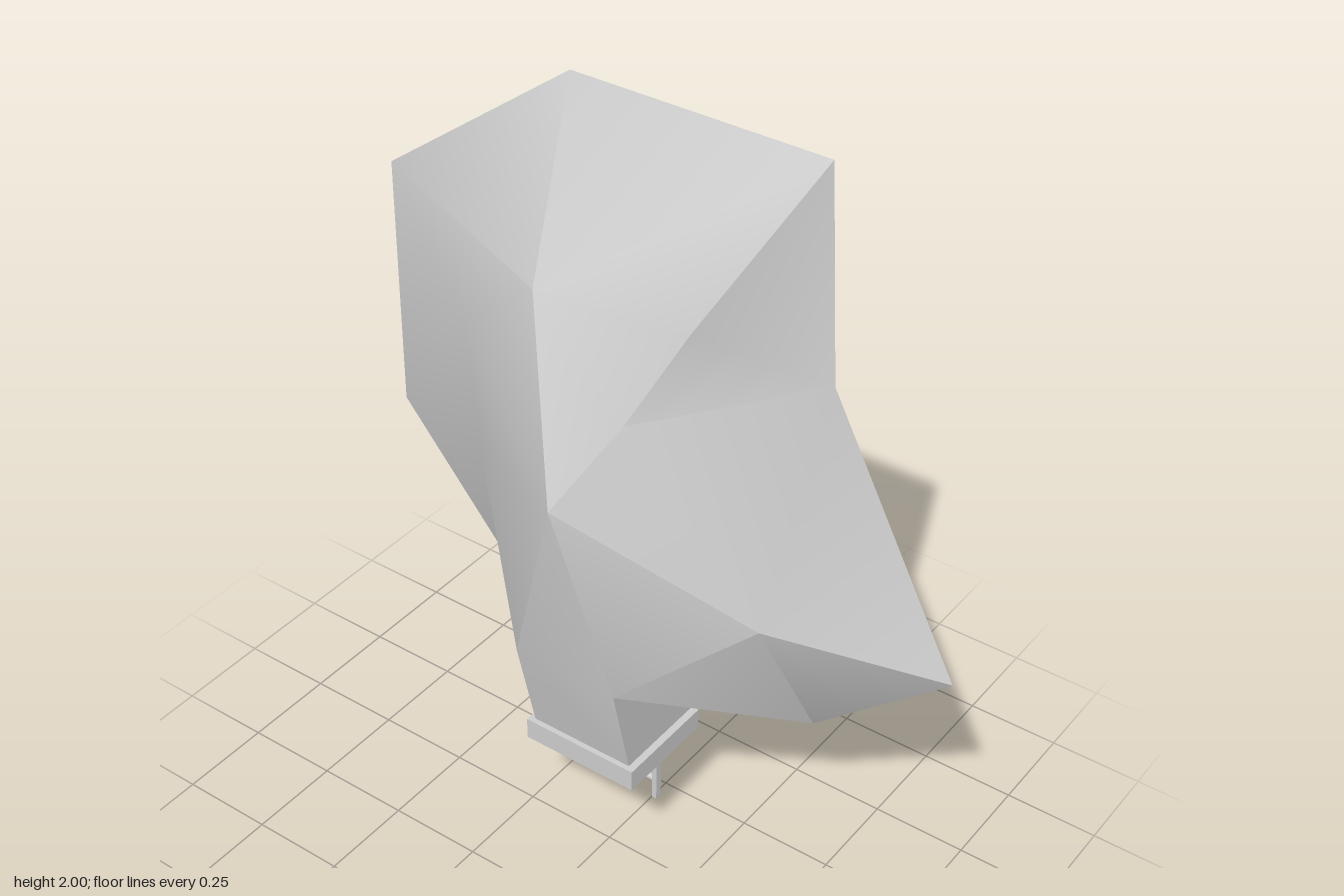
import * as THREE from 'three';
import { toCreasedNormals } from 'three/addons/utils/BufferGeometryUtils.js';

const material = new THREE.MeshStandardMaterial({ color: 0xcccccc });
const BACK = -0.22;

function add(parent, name, geometry, x = 0, y = 0, z = 0) {
  const mesh = new THREE.Mesh(geometry, material);
  mesh.name = name;
  mesh.position.set(x, y, z);
  parent.add(mesh);
  return mesh;
}

// Faceted bulge: flat rear outline, a ring of inner points and a peak
function shellGeometry() {
  const p = {
    peak: [0, 1.19, 0.228],
    a: [-0.42, 1.41, -0.01], b: [-0.42, 1.04, -0.045],
    t1: [-0.155, 1.63, 0.07], t2: [0.21, 1.615, -0.003],
    v: [0.09, 1.37, 0.07], r: [0.42, 0.9, 0],
    tl: [-0.19, 0.62, 0.12], tr: [0.1, 0.62, 0.12],
    dl: [-0.19, 0.35, 0.055], dr: [0.1, 0.35, 0.055],
    c: [0, 1.19, BACK],
  };
  const outline = [[-0.27, 2], [0.405, 2], [0.445, 1.46], [0.805, 0.79], [0.45, 0.48],
    [0.1, 0.35], [-0.19, 0.35], [-0.495, 0.55], [-0.81, 0.92], [-0.81, 1.6]];
  outline.forEach(([x, y], i) => { p['o' + i] = [x, y, BACK]; });

  // Faces listed clockwise
  const faces = [
    'peak a t1', 'peak t1 v', 'peak v r', 'peak r tr', 'peak tr tl', 'peak tl b', 'peak b a', 't1 t2 v',
    'a o9 t1', 'o9 o0 t1', 'o0 o1 t1', 't1 o1 t2', 't2 o1 o2', 't2 o2 v', 'v o2 r',
    'o2 o3 r', 'r o3 o4', 'r o4 tr', 'tr o4 o5',
    'tr o5 dr', 'tl tr dr', 'tl dr dl', 'tl dl o6', 'dl dr o5', 'dl o5 o6',
    'tl o6 o7', 'b tl o7', 'b o7 o8', 'a b o8', 'a o8 o9',
  ];
  outline.forEach((_, i) => faces.push(`c o${(i + 1) % outline.length} o${i}`));

  const positions = faces.flatMap((f) => f.split(' ').reverse().flatMap((k) => p[k]));
  const geometry = new THREE.BufferGeometry();
  geometry.setAttribute('position', new THREE.Float32BufferAttribute(positions, 3));
  return toCreasedNormals(geometry, 0.53);
}

// Rectangular base frame, open in the middle
function frameGeometry() {
  const rect = (path, w, d) => path.moveTo(-w, -d).lineTo(w, -d).lineTo(w, d).lineTo(-w, d).closePath();
  const shape = rect(new THREE.Shape(), 0.1625, 0.1425);
  shape.holes.push(rect(new THREE.Path(), 0.122, 0.102));
  const geometry = new THREE.ExtrudeGeometry(shape, { depth: 0.06, bevelEnabled: false });
  return geometry.rotateX(-Math.PI / 2);
}

function createLadder() {
  const ladder = new THREE.Group();
  ladder.name = 'ladder';
  for (const x of [-0.093, 0.007]) {
    add(ladder, 'ladderRail', new THREE.BoxGeometry(0.014, 0.31, 0.02), x, 0.155, -0.197);
    // Hook leaning over the rear of the base
    const hook = new THREE.CatmullRomCurve3([
      new THREE.Vector3(x, 0.29, -0.2), new THREE.Vector3(x, 0.345, -0.215),
      new THREE.Vector3(x, 0.375, -0.22), new THREE.Vector3(x, 0.41, -0.226),
    ]);
    add(ladder, 'ladderHook', new THREE.TubeGeometry(hook, 8, 0.007, 6));
  }
  for (const y of [0.06, 0.165, 0.27]) {
    const rung = new THREE.CylinderGeometry(0.01, 0.01, 0.1, 8).rotateZ(Math.PI / 2);
    add(ladder, 'ladderRung', rung, -0.043, y, -0.197);
  }
  return ladder;
}

export function createModel() {
  const model = new THREE.Group();
  model.name = 'hangingPod';
  add(model, 'shell', shellGeometry());
  add(model, 'baseFrame', frameGeometry(), -0.043, 0.29, -0.073);
  add(model, 'rearBar', new THREE.BoxGeometry(0.24, 0.025, 0.008), -0.043, 0.37, -0.221);
  model.add(createLadder());
  return model;
}
